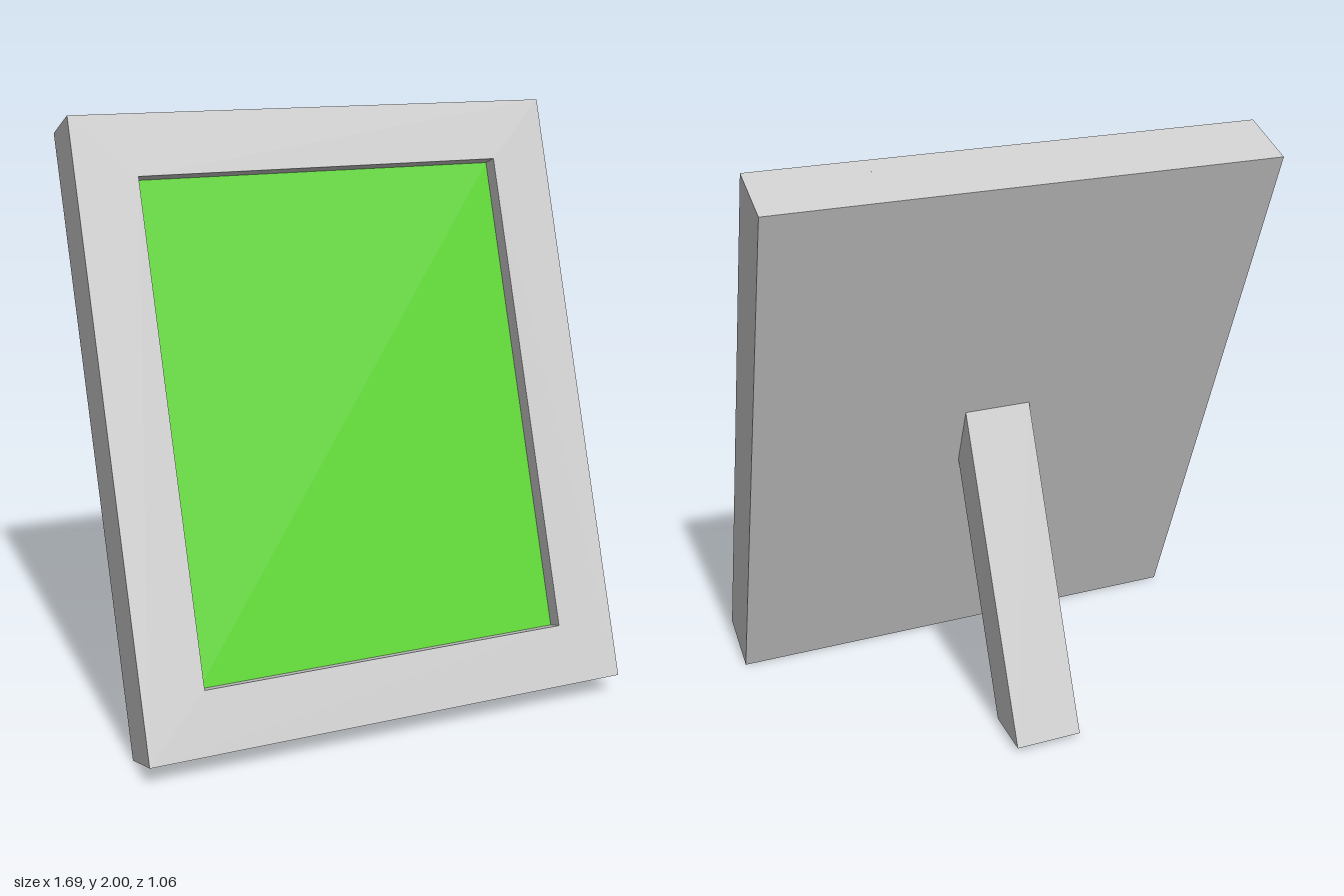
import * as THREE from 'three';

const frameMat = new THREE.MeshStandardMaterial({ color: 0xcccccc });
frameMat.name = 'light grey';
const pictureMat = new THREE.MeshStandardMaterial({ color: 0x57d322 });
pictureMat.name = 'bright green';

const WIDTH = 1.69, HEIGHT = 2.048, DEPTH = 0.2126;
const BORDER = 0.205, RECESS = 0.06;
const TILT = THREE.MathUtils.degToRad(20);

function addMesh(parent, name, geometry, material, x = 0, y = 0, z = 0) {
  const mesh = new THREE.Mesh(geometry, material);
  mesh.name = name;
  mesh.position.set(x, y, z);
  parent.add(mesh);
  return mesh;
}

// Closed outline of a rectangle
function rectangle(Type, x0, y0, x1, y1) {
  return new Type([[x0, y0], [x1, y0], [x1, y1], [x0, y1]].map(([x, y]) => new THREE.Vector2(x, y)));
}

export function createModel() {
  const model = new THREE.Group();
  model.name = 'pictureStand';

  // Leaning panel, pivoting on its lower back edge
  const panel = new THREE.Group();
  panel.name = 'leaningPanel';
  panel.position.set(0, 0, 0.33);
  panel.rotation.x = -TILT;
  model.add(panel);

  const floorZ = DEPTH - RECESS;
  addMesh(panel, 'backing', new THREE.BoxGeometry(WIDTH, HEIGHT, floorZ), frameMat, 0, HEIGHT / 2, floorZ / 2);

  // Raised border around the recess
  const outline = rectangle(THREE.Shape, -WIDTH / 2, 0, WIDTH / 2, HEIGHT);
  outline.holes.push(rectangle(THREE.Path, BORDER - WIDTH / 2, BORDER, WIDTH / 2 - BORDER, HEIGHT - BORDER));
  const border = new THREE.ExtrudeGeometry(outline, { depth: RECESS, bevelEnabled: false });
  addMesh(panel, 'frameBorder', border, frameMat, 0, 0, floorZ);

  // Picture on the floor of the recess
  const picture = new THREE.PlaneGeometry(WIDTH - 2 * BORDER, HEIGHT - 2 * BORDER);
  addMesh(panel, 'picture', picture, pictureMat, 0, HEIGHT / 2, floorZ + 0.002);

  // Rear leg: side profile in (z, y), with a level foot and a top flush with the panel's back
  const legWidth = 0.23;
  const profile = new THREE.Shape(
    [[-0.53, 0.02], [-0.35, 0.02], [0.018, 0.86], [-0.058, 1.069]].map(([z, y]) => new THREE.Vector2(z, y))
  );
  const legGeometry = new THREE.ExtrudeGeometry(profile, { depth: legWidth, bevelEnabled: false });
  legGeometry.rotateY(-Math.PI / 2); // profile x becomes z, depth runs along -x
  addMesh(model, 'rearLeg', legGeometry, frameMat, legWidth / 2, 0, 0);

  return model;
}
